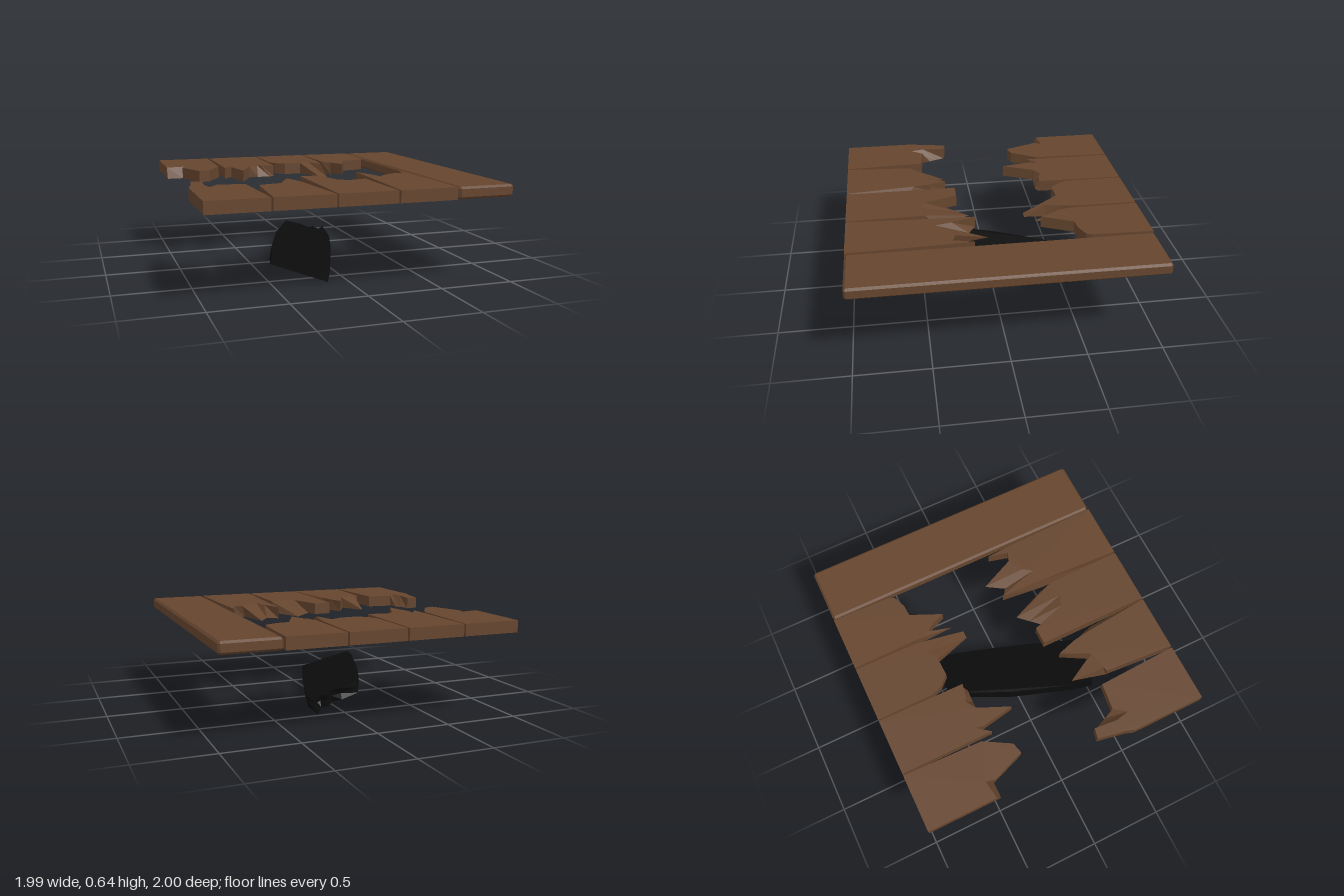
import * as THREE from 'three';

const TOP = 0.645, BOTTOM = 0.565;

// Closed flat-shaded slab: rings run from top to bottom, each with the same number of points.
function slab(rings) {
  const flat = r => r.map(p => new THREE.Vector2(p.x, -p.z));
  if (THREE.ShapeUtils.isClockWise(flat(rings[0]))) rings = rings.map(r => [...r].reverse());
  const out = [];
  const tri = (a, b, c) => out.push(...a, ...b, ...c);
  const n = rings[0].length;
  const cap = (ring, up) => {
    for (const [a, b, c] of THREE.ShapeUtils.triangulateShape(flat(ring), [])) {
      if (up) tri(ring[a], ring[b], ring[c]);
      else tri(ring[a], ring[c], ring[b]);
    }
  };
  cap(rings[0], true);
  cap(rings[rings.length - 1], false);
  for (let k = 0; k + 1 < rings.length; k++) {
    for (let i = 0; i < n; i++) {
      const j = (i + 1) % n, t = rings[k], b = rings[k + 1];
      tri(t[i], b[i], b[j]);
      tri(t[i], b[j], t[j]);
    }
  }
  const g = new THREE.BufferGeometry();
  g.setAttribute('position', new THREE.Float32BufferAttribute(out, 3));
  g.computeVertexNormals();
  return g;
}

// Broken ends, left to right. Each point: x, z on the top face, then x, z on the underside if it differs.
const backEnds = [
  [[-1, -0.52, -1, -0.49], [-0.875, -0.54, -0.89, -0.49], [-0.89, -0.48], [-0.805, -0.25], [-0.73, -0.27], [-0.625, -0.45]],
  [[-0.595, -0.36], [-0.525, -0.45], [-0.54, -0.395], [-0.5, -0.17], [-0.405, -0.385], [-0.335, -0.43, -0.34, -0.38],
    [-0.305, -0.41, -0.25, -0.375], [-0.215, -0.395]],
  [[-0.195, -0.6], [-0.165, -0.53], [-0.105, -0.465], [0.02, -0.47], [0.1, -0.51, 0.1, -0.22],
    [0.15, -0.36, 0.155, -0.22], [0.17, -0.47, 0.165, -0.38], [0.185, -0.56]],
  [[0.21, -0.53, 0.205, -0.53], [0.23, -0.44, 0.215, -0.28], [0.255, -0.42], [0.305, -0.305], [0.4, -0.515],
    [0.48, -0.52], [0.565, -0.555], [0.58, -0.59]],
];
const frontEnds = [
  [[-1, 0.49], [-0.98, 0.435], [-0.945, 0.24], [-0.875, 0.255], [-0.89, 0.415, -0.85, 0.32],
    [-0.87, 0.505, -0.83, 0.37], [-0.81, 0.425], [-0.63, 0.445]],
  [[-0.56, 0.52], [-0.53, 0.51, -0.5, 0.29], [-0.405, 0.485, -0.405, 0.46], [-0.31, 0.29],
    [-0.27, 0.42, -0.28, 0.36], [-0.255, 0.52, -0.205, 0.59]],
  [[-0.195, 0.23], [-0.075, 0.23], [-0.05, 0.305], [0, 0.465, 0.02, 0.23], [0.075, 0.495, 0.085, 0.16],
    [0.185, 0.47, 0.185, 0.39]],
  [[0.235, 0.4, 0.215, 0.42], [0.245, 0.135], [0.3, 0.3, 0.32, 0.185], [0.325, 0.41, 0.335, 0.16],
    [0.37, 0.345, 0.395, 0.065], [0.47, 0.29, 0.45, 0.3], [0.53, 0.31], [0.565, 0.175], [0.575, 0.35]],
];

function brokenPlank(ends, index, side) {
  const left = -1 + index * 0.4 + (index ? 0.005 : 0);
  const right = -1 + (index + 1) * 0.4 - 0.007;
  const pts = [...ends[index], [right, side], [left, side]];
  return slab([
    pts.map(([x, z]) => new THREE.Vector3(x, TOP, z)),
    pts.map(([x, z, bx = x, bz = z]) => new THREE.Vector3(bx, BOTTOM, bz)),
  ]);
}

// Whole plank with narrow chamfers on every edge.
function chamferedPlank(x0, x1, z0, z1, c) {
  const ring = (y, d, k) => [
    [x0 + d + k, z0 + d], [x1 - d - k, z0 + d], [x1 - d, z0 + d + k], [x1 - d, z1 - d - k],
    [x1 - d - k, z1 - d], [x0 + d + k, z1 - d], [x0 + d, z1 - d - k], [x0 + d, z0 + d + k],
  ].map(([x, z]) => new THREE.Vector3(x, y, z));
  return slab([ring(TOP, c, 0.002), ring(TOP - c, 0, c), ring(BOTTOM + c, 0, c), ring(BOTTOM, c, 0.002)]);
}

// Fallen board: outline seen from above, with one side tipped down; the snapped end is forked.
function fallenBoard() {
  // x, z, then how far the split cuts back into the end
  const pts = [
    [-0.475, 0.51, 0], [-0.44, 0.36, 0], [-0.29, -0.07, 0], [-0.1, -0.465, 0],
    [0.02, -0.465, 0.02], [0.07, -0.42, 0], [0.13, -0.49, 0.03], [0.16, -0.44, 0.02],
    [0.24, -0.58, 0.16], [0.2, -0.3, 0], [0.1, 0.02, 0], [0.02, 0.25, 0], [-0.12, 0.63, 0],
  ];
  const ring = (drop, split, shift) => pts.map(([x, z, cut]) => {
    const across = x + 0.378 * z + 0.28;
    const y = Math.max(0.08, Math.min(0.2, 0.2 - 0.3 * across)) - drop;
    return new THREE.Vector3(x - cut * 0.4 * split + shift, y, z + cut * split);
  });
  return slab([ring(0, 0, 0), ring(0.04, 1, -0.007), ring(0.08, 0, -0.014)]);
}

export function createModel() {
  const wood = new THREE.MeshStandardMaterial({ color: 0x65452e });
  wood.name = 'brown wood';
  const charred = new THREE.MeshStandardMaterial({ color: 0x0b0b0b });
  charred.name = 'black wood';

  const model = new THREE.Group();
  model.name = 'brokenFloor';
  const add = (name, geometry, material) => {
    const mesh = new THREE.Mesh(geometry, material);
    mesh.name = name;
    model.add(mesh);
  };

  for (let i = 0; i < 4; i++) {
    add(`backBrokenPlank${i + 1}`, brokenPlank(backEnds, i, -1), wood);
    add(`frontBrokenPlank${i + 1}`, brokenPlank(frontEnds, i, 1), wood);
  }
  add('wholePlank', chamferedPlank(0.604, 0.992, -1, 1, 0.014), wood);
  add('fallenBoard', fallenBoard(), charred);
  return model;
}
